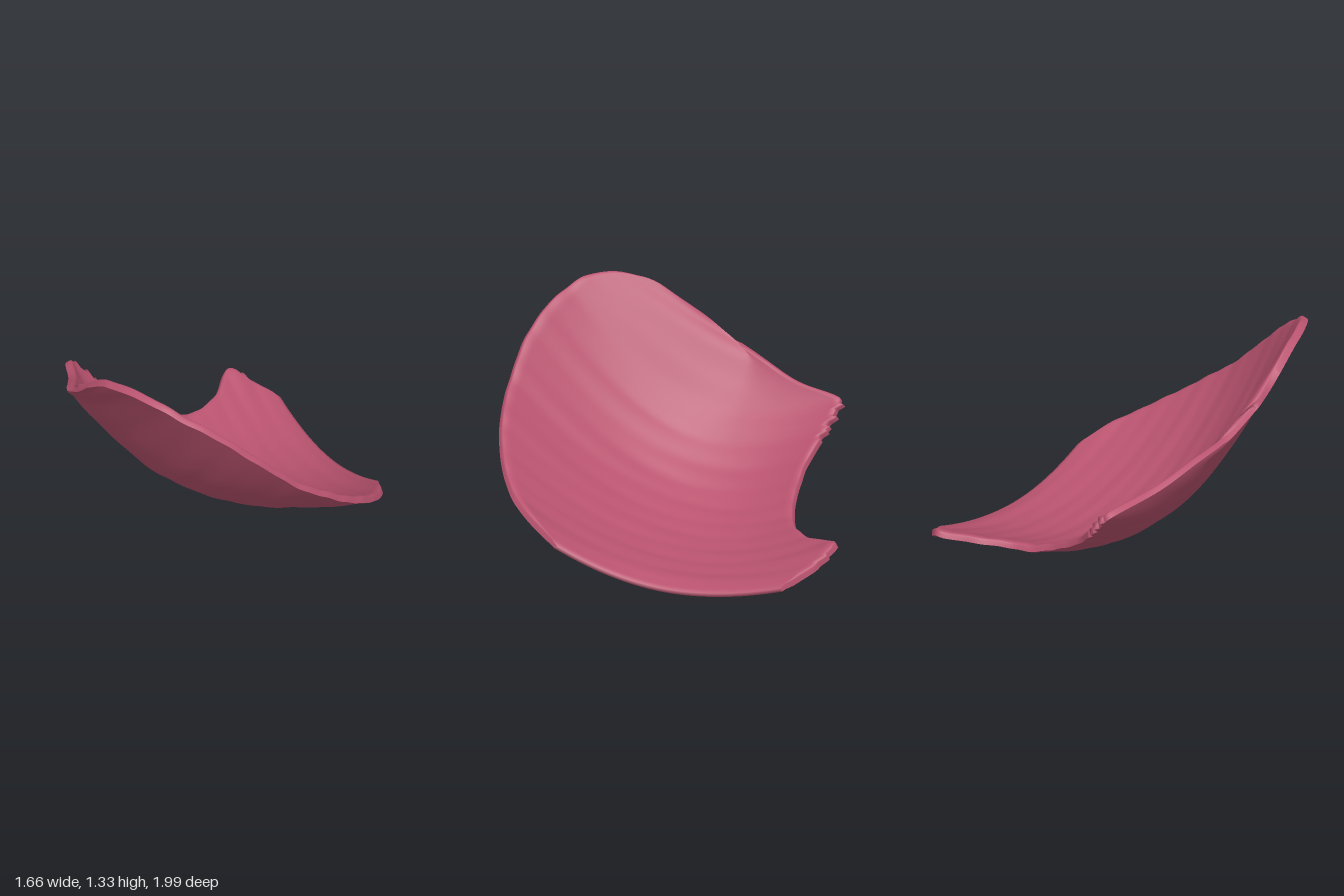
import * as THREE from 'three';

// Cross-sections along x: x, back z, back y, valley z, valley y, front z, front y
const SECTIONS = [
  [-0.83, 0.0, 1.04, 0.0, 1.04, 0.2, 1.18],
  [-0.8, -0.2, 0.93, -0.19, 0.92, 0.4, 1.29],
  [-0.73, -0.4, 0.83, -0.3, 0.8, 0.6, 1.32],
  [-0.65, -0.62, 0.73, -0.3, 0.67, 0.73, 1.3],
  [-0.565, -0.88, 0.66, -0.28, 0.55, 0.81, 1.25],
  [-0.4, -0.81, 0.49, -0.25, 0.36, 0.91, 1.14],
  [-0.2, -0.72, 0.33, -0.25, 0.2, 0.98, 0.965],
  [0.0, -0.7, 0.22, -0.25, 0.1, 0.995, 0.79],
  [0.2, -0.73, 0.16, -0.25, 0.05, 0.97, 0.65],
  [0.4, -0.84, 0.18, -0.25, 0.02, 0.9, 0.51],
  [0.57, -1.0, 0.235, -0.25, 0.01, 0.8, 0.4],
  [0.7, -0.9, 0.15, -0.25, 0.005, 0.68, 0.32],
  [0.83, -0.75, 0.08, -0.25, 0.005, 0.45, 0.19],
];

// Smooth monotone interpolation of one column of the section list
function sample(x, col) {
  const S = SECTIONS, last = S.length - 1;
  const slope = (i) => (S[i + 1][col] - S[i][col]) / (S[i + 1][0] - S[i][0]);
  const tangent = (i) => {
    if (i === 0) return slope(0);
    if (i === last) return slope(last - 1);
    const a = slope(i - 1), b = slope(i);
    return a * b <= 0 ? 0 : (2 * a * b) / (a + b);
  };
  let k = 0;
  while (k < last - 1 && x > S[k + 1][0]) k++;
  const w = S[k + 1][0] - S[k][0];
  const t = THREE.MathUtils.clamp((x - S[k][0]) / w, 0, 1), t2 = t * t, t3 = t2 * t;
  return (2 * t3 - 3 * t2 + 1) * S[k][col] + (t3 - 2 * t2 + t) * w * tangent(k)
    + (3 * t2 - 2 * t3) * S[k + 1][col] + (t3 - t2) * w * tangent(k + 1);
}

// Small broken teeth on the two rear corners
function jag(x) {
  const ragged = (x > -0.55 && x < -0.38) || (x > 0.6 && x < 0.82);
  return ragged ? 0.014 * (Math.sin(x * 190) + Math.sin(x * 111 + 1)) : 0;
}

// Point on the outer (lower) face
function outerPoint(u, v) {
  const x = -0.83 + 1.66 * Math.pow(u, 1.5);
  const [zb, yb, zv, yv, zf, yf] = [1, 2, 3, 4, 5, 6].map((c) => sample(x, c));
  const z = THREE.MathUtils.lerp(zb + jag(x), zf, v);
  const p = THREE.MathUtils.lerp(1.2, 2, THREE.MathUtils.smoothstep(x, -0.83, -0.4));
  let y;
  if (z >= zv) y = yv + (yf - yv) * Math.pow((z - zv) / (zf - zv), p);
  else y = yv + (yb - yv) * Math.pow((zv - z) / Math.max(zv - zb, 0.02), 2);
  // Faint growth ridges running front to back
  const ridge = Math.sin(x * 34 + z * 3) * Math.sin(x * 13 - z * 2.2 + 1);
  return new THREE.Vector3(x, y + 0.004 * ridge, z);
}

function shellGeometry() {
  const N = 120, M = 70, THICK = 0.045;
  const id = (i, j) => i * (M + 1) + j;
  const outer = [], faces = [];
  for (let i = 0; i <= N; i++) {
    for (let j = 0; j <= M; j++) {
      const v = 0.5 - 0.5 * Math.cos(Math.PI * j / M);
      outer.push(...outerPoint(i / N, v).toArray());
    }
  }
  for (let i = 0; i < N; i++) {
    for (let j = 0; j < M; j++) {
      const a = id(i, j), b = id(i + 1, j), c = id(i + 1, j + 1), d = id(i, j + 1);
      faces.push(a, b, d, b, c, d);
    }
  }
  const lower = new THREE.BufferGeometry();
  lower.setAttribute('position', new THREE.Float32BufferAttribute(outer, 3));
  lower.setIndex(faces);
  lower.computeVertexNormals();
  const n = lower.attributes.normal.array;

  // Inner face: offset inwards, thinning towards the rounded rim
  const count = (N + 1) * (M + 1), inner = [];
  for (let i = 0; i <= N; i++) {
    for (let j = 0; j <= M; j++) {
      const edge = Math.min(1, Math.min(i, N - i, j * 0.8, (M - j) * 0.8) / 5);
      const t = THICK * (0.45 + 0.55 * Math.sqrt(edge));
      for (let c = 0; c < 3; c++) {
        const q = id(i, j) * 3 + c;
        inner.push(outer[q] - n[q] * t);
      }
    }
  }
  const index = [...faces];
  for (let k = 0; k < faces.length; k += 3) {
    index.push(faces[k] + count, faces[k + 2] + count, faces[k + 1] + count);
  }

  // Rim strip joining the two faces
  const loop = [];
  for (let i = 0; i < N; i++) loop.push(id(i, 0));
  for (let j = 0; j < M; j++) loop.push(id(N, j));
  for (let i = N; i > 0; i--) loop.push(id(i, M));
  for (let j = M; j > 0; j--) loop.push(id(0, j));
  loop.forEach((a, k) => {
    const b = loop[(k + 1) % loop.length];
    index.push(b, a, a + count, b, a + count, b + count);
  });

  const geo = new THREE.BufferGeometry();
  geo.setAttribute('position', new THREE.Float32BufferAttribute([...outer, ...inner], 3));
  geo.setIndex(index);
  geo.computeVertexNormals();
  geo.computeBoundingBox();
  geo.translate(0, -geo.boundingBox.min.y, 0);
  return geo;
}

export function createModel() {
  const rose = new THREE.MeshStandardMaterial({ color: 0xb9536f });
  rose.name = 'rose';
  const shell = new THREE.Mesh(shellGeometry(), rose);
  shell.name = 'curvedShell';
  const group = new THREE.Group();
  group.name = 'shellPlate';
  group.add(shell);
  return group;
}
